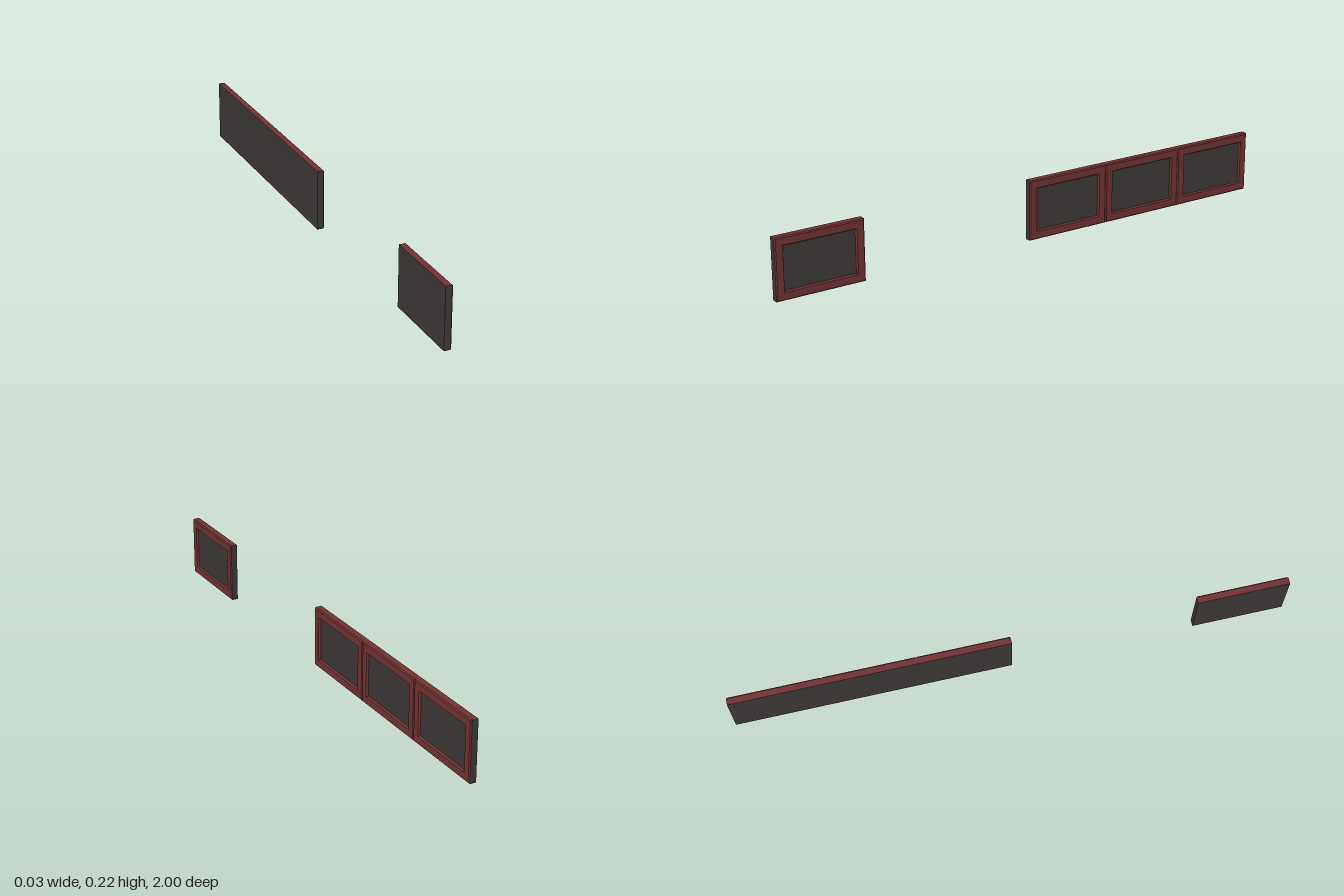
import * as THREE from 'three';

const HEIGHT = 0.222, LENGTH = 1 / 3;

// Rectangle in the y-z plane at depth x, shrunk by inset; counter-clockwise seen from +x
function ring(x, inset) {
  const y0 = inset, y1 = HEIGHT - inset, z = LENGTH / 2 - inset;
  return [[x, y0, z], [x, y0, -z], [x, y1, -z], [x, y1, z]];
}

// Flat-shaded geometry from a list of four-cornered faces
function quads(faces) {
  const pos = [];
  for (const [a, b, c, d] of faces) pos.push(...a, ...b, ...c, ...a, ...c, ...d);
  const geo = new THREE.BufferGeometry();
  geo.setAttribute('position', new THREE.Float32BufferAttribute(pos, 3));
  geo.computeVertexNormals();
  return geo;
}

// Four faces joining one ring to the next: bottom, -z end, top, +z end
function band(a, b) {
  return a.map((p, i) => [p, a[(i + 1) % 4], b[(i + 1) % 4], b[i]]);
}

export function createModel() {
  const red = new THREE.MeshStandardMaterial({ color: 0x703232 });
  red.name = 'dark red';
  const dark = new THREE.MeshStandardMaterial({ color: 0x3d3737 });
  dark.name = 'charcoal';

  const back = ring(-0.014, 0), shoulder = ring(0.009, 0);
  const rim = ring(0.013, 0.004), lip = ring(0.013, 0.029);
  const floor = ring(0.006, 0.033);
  const sides = band(back, shoulder);

  // Charcoal back, ends and underside
  const bodyGeo = quads([[...back].reverse(), sides[0], sides[1], sides[3]]);
  // Red top, chamfer, front face and recess walls
  const frameGeo = quads([sides[2], ...band(shoulder, rim), ...band(rim, lip), ...band(lip, floor)]);
  // Recessed charcoal infill
  const infillGeo = quads([floor]);

  const model = new THREE.Group();
  model.name = 'panelRow';
  // One separate panel, a gap, then three panels side by side
  [0, 3, 4, 5].forEach((slot, i) => {
    const panel = new THREE.Group();
    panel.name = 'panel' + (i + 1);
    const parts = [['body', bodyGeo, dark], ['frame', frameGeo, red], ['infill', infillGeo, dark]];
    for (const [name, geo, mat] of parts) {
      const mesh = new THREE.Mesh(geo, mat);
      mesh.name = name;
      panel.add(mesh);
    }
    panel.position.z = 1 - LENGTH * (slot + 0.5);
    model.add(panel);
  });
  return model;
}
